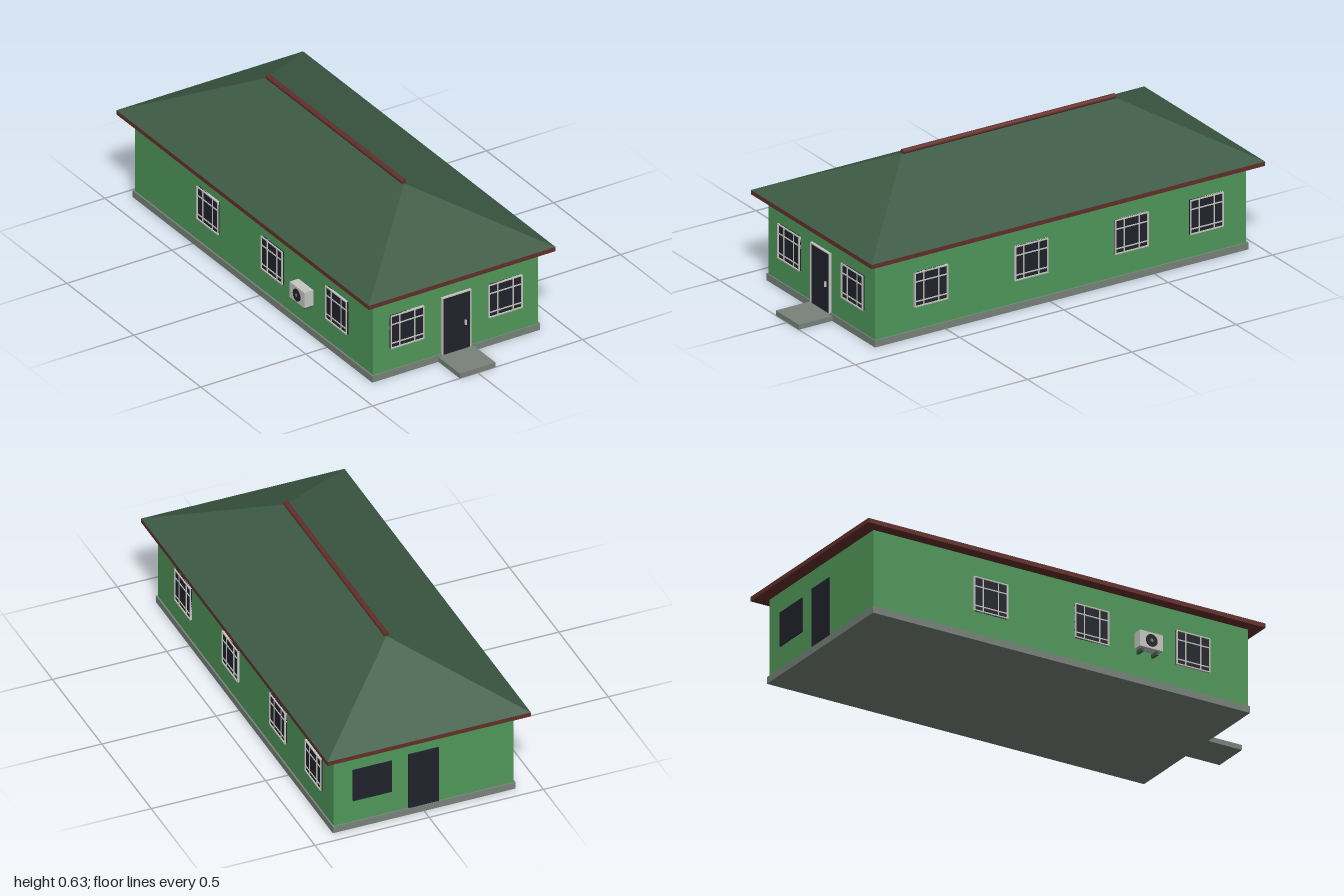
import * as THREE from 'three';

const mat = (name, color) => {
  const m = new THREE.MeshStandardMaterial({ color });
  m.name = name;
  return m;
};

export function createModel() {
  const wall = mat('wall green', 0x50985a);
  const roofGreen = mat('roof green', 0x3d5a44);
  const trim = mat('brown trim', 0x642f2a);
  const stone = mat('grey stone', 0x78827a);
  const dark = mat('dark glass', 0x21212c);
  const pale = mat('pale frame', 0xc6c6c2);

  const house = new THREE.Group();
  house.name = 'house';

  const add = (parent, name, geometry, material, x = 0, y = 0, z = 0) => {
    const mesh = new THREE.Mesh(geometry, material);
    mesh.name = name;
    mesh.position.set(x, y, z);
    parent.add(mesh);
    return mesh;
  };
  // Box given by its limits on each axis
  const box = (parent, name, material, [x0, x1], [y0, y1], [z0, z1]) =>
    add(parent, name, new THREE.BoxGeometry(x1 - x0, y1 - y0, z1 - z0), material,
      (x0 + x1) / 2, (y0 + y1) / 2, (z0 + z1) / 2);

  // Walls, plinth and front step
  box(house, 'plinth', stone, [-0.4, 0.4], [0, 0.03], [-0.95, 0.84]);
  box(house, 'walls', wall, [-0.393, 0.393], [0.03, 0.372], [-0.943, 0.835]);
  box(house, 'frontStep', stone, [-0.085, 0.085], [0, 0.022], [0.84, 1]);

  // Eaves board and hipped roof
  const W = 0.445, Z0 = -1, Z1 = 0.885, E = 0.39, R = 0.612;
  box(house, 'eaves', trim, [-W, W], [0.371, E], [Z0, Z1]);
  const fl = [-W, E, Z1], fr = [W, E, Z1], br = [W, E, Z0], bl = [-W, E, Z0];
  const ridgeF = [0, R, 0.45], ridgeB = [0, R, -0.568];
  const roof = new THREE.BufferGeometry();
  roof.setAttribute('position', new THREE.Float32BufferAttribute([
    fl, fr, ridgeF,
    br, bl, ridgeB,
    fr, br, ridgeB, fr, ridgeB, ridgeF,
    bl, fl, ridgeF, bl, ridgeF, ridgeB,
  ].flat(), 3));
  roof.computeVertexNormals();
  add(house, 'roof', roof, roofGreen);
  const ridge = add(house, 'ridgeCap', new THREE.CylinderGeometry(0.011, 0.011, 1.018, 16), trim, 0, 0.618, -0.059);
  ridge.rotation.x = Math.PI / 2;

  // Barred window, facing +z before it is turned
  const barredWindow = (name, x, z, turn) => {
    const g = new THREE.Group();
    g.name = name;
    g.position.set(x, 0.206, z);
    g.rotation.y = turn;
    const w = 0.08, h = 0.076, t = 0.005;
    box(g, 'glass', dark, [-w, w], [-h, h], [-0.002, 0.005]);
    for (const s of [-1, 1]) {
      box(g, 'frameSide', pale, [s * (w - t / 2) - t / 2, s * (w - t / 2) + t / 2], [-h, h], [0, 0.01]);
      box(g, 'frameRail', pale, [-w, w], [s * (h - t / 2) - t / 2, s * (h - t / 2) + t / 2], [0, 0.01]);
      box(g, 'uprightBar', pale, [s * 0.036 - 0.0025, s * 0.036 + 0.0025], [-h, h], [0, 0.008]);
    }
    for (const y of [0.034, -0.052])
      box(g, 'crossBar', pale, [-w, w], [y - 0.0025, y + 0.0025], [0, 0.008]);
    house.add(g);
  };
  for (const s of [-1, 1]) barredWindow('frontWindow', s * 0.234, 0.835, 0);
  for (const z of [0.57, 0.09, -0.39, -0.75]) barredWindow('leftWindow', 0.393, z, Math.PI / 2);
  for (const z of [0.57, 0.09, -0.39]) barredWindow('rightWindow', -0.393, z, -Math.PI / 2);

  // Front door with frame and handle
  box(house, 'frontDoor', dark, [-0.066, 0.066], [0.026, 0.288], [0.834, 0.842]);
  for (const s of [-1, 1])
    box(house, 'doorPost', pale, [s * 0.0675 - 0.0025, s * 0.0675 + 0.0025], [0.026, 0.291], [0.834, 0.846]);
  box(house, 'doorLintel', pale, [-0.07, 0.07], [0.286, 0.291], [0.834, 0.846]);
  box(house, 'doorHandle', pale, [0.038, 0.045], [0.136, 0.158], [0.84, 0.85]);

  // Plain back window and back door
  box(house, 'backWindow', dark, [0.14, 0.31], [0.13, 0.28], [-0.948, -0.94]);
  box(house, 'backDoor', dark, [-0.065, 0.067], [0.03, 0.29], [-0.948, -0.94]);

  // Cooling unit on the right wall
  const unit = new THREE.Group();
  unit.name = 'coolingUnit';
  box(unit, 'casing', pale, [-0.443, -0.4], [0.146, 0.217], [0.29, 0.4]);
  for (const z of [0.31, 0.38])
    box(unit, 'bracket', roofGreen, [-0.432, -0.39], [0.13, 0.147], [z - 0.005, z + 0.005]);
  const fan = add(unit, 'fan', new THREE.CylinderGeometry(0.027, 0.027, 0.006, 24), dark, -0.443, 0.181, 0.345);
  const hub = add(unit, 'fanHub', new THREE.CylinderGeometry(0.007, 0.007, 0.008, 16), stone, -0.443, 0.181, 0.345);
  fan.rotation.z = hub.rotation.z = Math.PI / 2;
  house.add(unit);

  return house;
}
